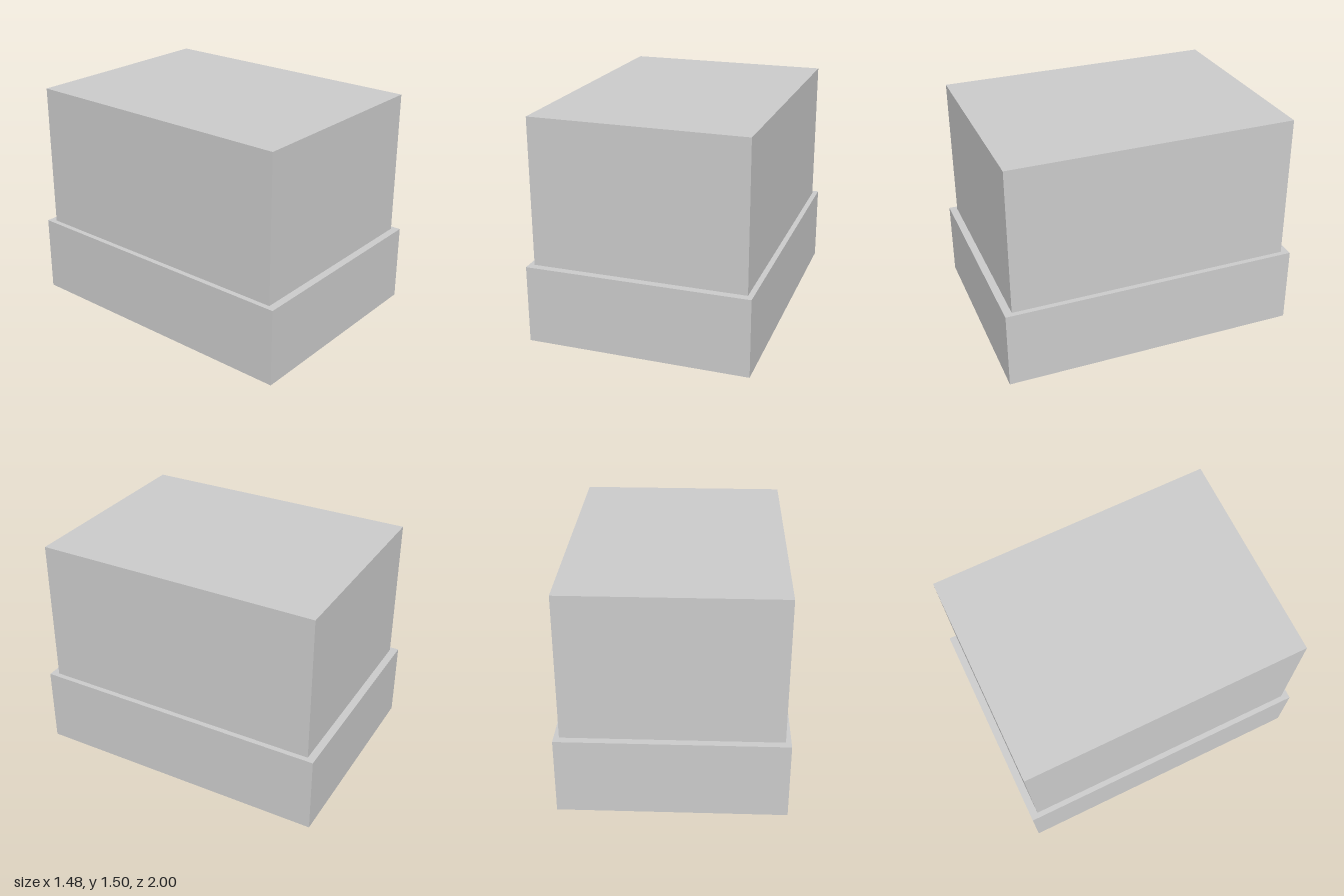
import * as THREE from 'three';

// Box standing on y = bottom, centred on x and z
function block(name, width, bottom, top, depth, material) {
  const mesh = new THREE.Mesh(new THREE.BoxGeometry(width, top - bottom, depth), material);
  mesh.name = name;
  mesh.position.y = (bottom + top) / 2;
  return mesh;
}

export function createModel() {
  const grey = new THREE.MeshStandardMaterial({ color: 0xcccccc });
  const model = new THREE.Group();
  model.name = 'steppedBlock';

  // Wide plinth with a slightly narrower body on it
  model.add(
    block('base', 1.475, 0, 0.52, 2, grey),
    block('body', 1.405, 0.52, 1.495, 1.9, grey)
  );
  return model;
}
